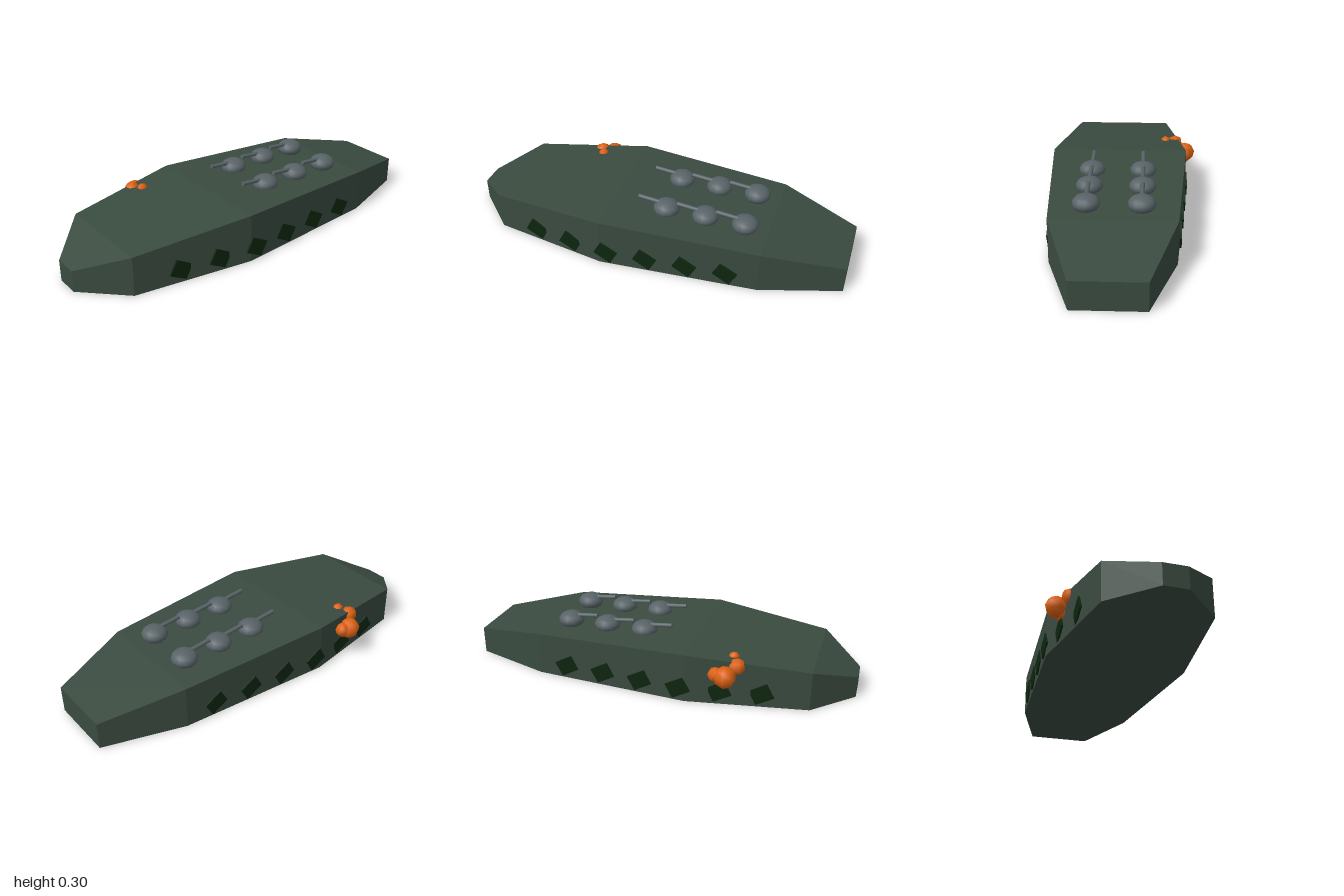
import * as THREE from 'three';

const paint = (name, color) => {
  const m = new THREE.MeshStandardMaterial({ color });
  m.name = name;
  return m;
};
const CENTRE = 0.022; // hull centreline in x

// Hull stations from stern to bow: [z, half width, deck height]
const STATIONS = [
  [-1, 0.17, 0.14], [-0.6, 0.3, 0.22], [0.2, 0.36, 0.25], [0.8, 0.26, 0.2], [1, 0.06, 0.11],
];

function halfWidthAt(z) {
  const i = STATIONS.findIndex((s, k) => k > 0 && z <= s[0]);
  const [a, b] = [STATIONS[i - 1], STATIONS[i]];
  return THREE.MathUtils.lerp(a[1], b[1], (z - a[0]) / (b[0] - a[0]));
}

function hullGeometry() {
  const pos = [];
  const quad = (a, b, c, d) => pos.push(...a, ...b, ...c, ...a, ...c, ...d);
  // Corners of each section, anticlockwise seen from the bow
  const rings = STATIONS.map(([z, w, h]) => [[-w, 0, z], [w, 0, z], [w, h, z], [-w, h, z]]);
  for (let i = 0; i < rings.length - 1; i++) {
    for (let j = 0; j < 4; j++) {
      const k = (j + 1) % 4;
      quad(rings[i][j], rings[i][k], rings[i + 1][k], rings[i + 1][j]);
    }
  }
  const [s, b] = [rings[0], rings[rings.length - 1]];
  quad(s[3], s[2], s[1], s[0]);
  quad(b[0], b[1], b[2], b[3]);
  const g = new THREE.BufferGeometry();
  g.setAttribute('position', new THREE.Float32BufferAttribute(pos, 3));
  g.computeVertexNormals();
  return g;
}

export function createModel() {
  const model = new THREE.Group();
  model.name = 'armouredShip';
  const hullGreen = paint('hullGreen', 0x3a4b40);
  const steelGrey = paint('steelGrey', 0x586367);
  const darkGreen = paint('darkGreen', 0x0e2610);
  const orange = paint('orange', 0xde6212);

  const add = (parent, name, geometry, material, x, y, z) => {
    const mesh = new THREE.Mesh(geometry, material);
    mesh.name = name;
    mesh.position.set(x, y, z);
    parent.add(mesh);
    return mesh;
  };

  add(model, 'hull', hullGeometry(), hullGreen, CENTRE, 0, 0);

  // Two rows of three flattened turrets with slightly raised barrels
  const dome = new THREE.SphereGeometry(0.067, 12, 10).scale(1, 0.65, 1);
  const barrel = new THREE.CylinderGeometry(0.011, 0.011, 0.15, 8).rotateX(Math.PI / 2);
  for (const x of [-0.13, 0.13]) {
    for (const z of [-0.485, -0.283, -0.08]) {
      const turret = new THREE.Group();
      turret.name = 'turret';
      turret.position.set(CENTRE + x, 0.251, z);
      add(turret, 'turretDome', dome, steelGrey, 0, 0, 0);
      add(turret, 'barrel', barrel, steelGrey, 0, 0.03, 0.073).rotation.x = -0.1;
      model.add(turret);
    }
  }

  // Tilted plates along both sides
  const plate = new THREE.BoxGeometry(0.009, 0.08, 0.1);
  for (const side of [-1, 1]) {
    for (let i = 0; i < 6; i++) {
      const z = 0.57 - i * 0.202;
      const x = CENTRE + side * (halfWidthAt(z) + 0.004);
      add(model, 'sidePlate', plate, darkGreen, x, 0.07, z).rotation.x = -0.5;
    }
  }

  // Cluster of orange lumps hanging over the right rail: [x, y, z, radius]
  const cluster = new THREE.Group();
  cluster.name = 'orangeCluster';
  const lumps = [
    [-0.338, 0.165, 0.4, 0.055], [-0.335, 0.172, 0.352, 0.037], [-0.31, 0.135, 0.39, 0.035],
    [-0.284, 0.205, 0.447, 0.042], [-0.23, 0.225, 0.42, 0.027],
  ];
  lumps.forEach(([x, y, z, r], i) => {
    const lump = add(cluster, 'lump', new THREE.SphereGeometry(r, 7, 5), orange, x, y, z);
    lump.rotation.set(i * 0.4, i * 0.7, 0.2);
  });
  model.add(cluster);
  return model;
}
